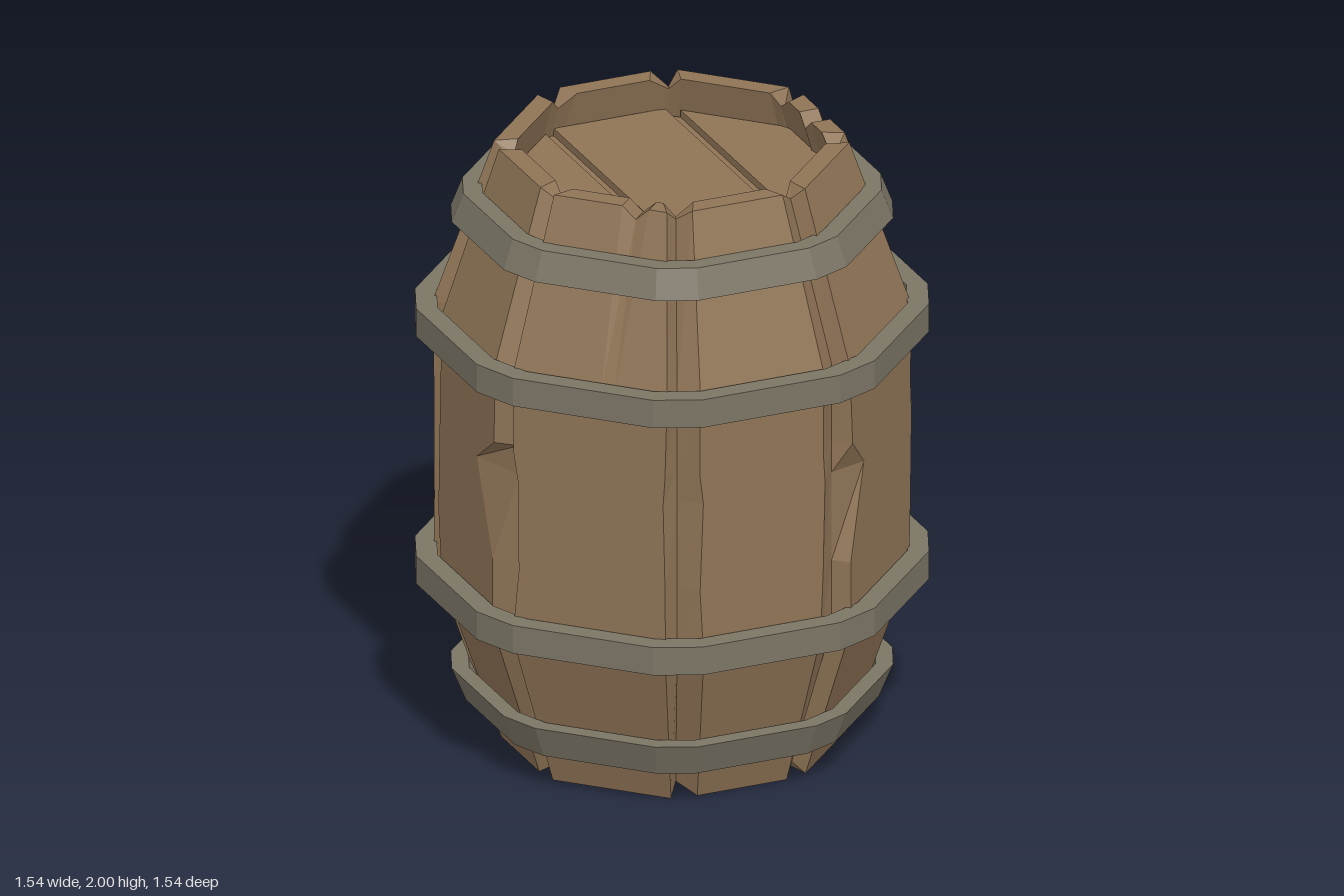
import * as THREE from 'three';

const wood = new THREE.MeshStandardMaterial({ color: 0x8f7456 });
wood.name = 'wood';
const iron = new THREE.MeshStandardMaterial({ color: 0x7b7565 });
iron.name = 'dull iron';

const TAN = Math.tan(Math.PI / 8);

// Small repeatable random numbers in -1..1 for uneven stave edges
let seed = 7;
const jitter = () => {
  seed = (seed * 16807) % 2147483647;
  return (seed / 2147483647) * 2 - 1;
};

// Flat-shaded skin over closed rings, with optional ends across paired points
function loft(rings, capped) {
  const pos = [];
  const quad = (a, b, c, d) => [a, b, c, a, c, d].forEach(p => pos.push(...p));
  for (let r = 0; r < rings.length - 1; r++) {
    const a = rings[r], b = rings[r + 1], n = a.length;
    for (let i = 0; i < n; i++) quad(a[i], a[(i + 1) % n], b[(i + 1) % n], b[i]);
  }
  if (capped) {
    const lo = rings[0], hi = rings[rings.length - 1], n = lo.length;
    for (let j = 0; j < n / 2 - 1; j++) {
      quad(hi[j], hi[j + 1], hi[n - 2 - j], hi[n - 1 - j]);
      quad(lo[j], lo[n - 1 - j], lo[n - 2 - j], lo[j + 1]);
    }
  }
  const g = new THREE.BufferGeometry();
  g.setAttribute('position', new THREE.Float32BufferAttribute(pos, 3));
  g.computeVertexNormals();
  return g;
}

function add(parent, geometry, material, name) {
  const m = new THREE.Mesh(geometry, material);
  m.name = name;
  parent.add(m);
  return m;
}

// One stave facing +z: [height, apothem] levels, chipped edge and rim notch optional
function staveGeometry(halfWidth, chipSide, notchAt) {
  const levels = [[0, 0.52], [0.55, 0.7], [0.78, 0.7], [1.08, 0.7], [1.18, 0.7], [1.45, 0.7], [2, 0.52]];
  const rings = levels.map(([y, r], k) => {
    const edge = s => {
      const chip = k === 3 && chipSide === s ? 0.12 : 0;
      return s * ((halfWidth + 0.02 * jitter()) * r - chip);
    };
    const c = notchAt ?? 0;
    const xs = [edge(-1), c - 0.045, c, c + 0.045, edge(1)];
    const top = k === levels.length - 1;
    const dip = top ? -0.04 : k === 0 ? 0.04 : 0;
    const rimY = i => y - (top && i === 2 && notchAt !== undefined ? 0.04 : 0);
    const outer = xs.map((x, i) => [x, rimY(i), r]);
    const inner = xs.map((x, i) => [i % 4 ? x : x * 0.8, rimY(i), r * 0.875]).reverse();
    // groove bottoms on the joints between neighbouring staves
    const groove = (s, f) => [s * f * r * TAN, y + dip, f * r];
    return [groove(-1, 0.91), ...outer, groove(1, 0.91), groove(1, 0.875), ...inner, groove(-1, 0.875)];
  });
  return loft(rings, true);
}

// Octagonal ring with cut corners
function hoopRing(apothem, y) {
  const pts = [];
  const a = Math.atan(0.305), r = apothem / Math.cos(a);
  for (let i = 0; i < 8; i++) {
    for (const s of [-1, 1]) {
      const t = i * Math.PI / 4 + s * a;
      pts.push([r * Math.sin(t), y, r * Math.cos(t)]);
    }
  }
  return pts;
}

// Barrel end: a recessed octagonal board with three planks on it
function makeHead() {
  const head = new THREE.Group();
  const a = 0.485;
  const board = new THREE.CylinderGeometry(a * 1.082, a * 1.082, 0.04, 8).toNonIndexed();
  board.rotateY(Math.PI / 8);
  board.computeVertexNormals();
  add(head, board, wood, 'headBoard').position.y = -0.045;
  const x0 = 0.23, z0 = a * Math.SQRT2 - x0, h = a * TAN;
  const outlines = [
    [[-0.19, -a], [0.19, -a], [0.19, a], [-0.19, a]],
    [[x0, -z0], [a, -h], [a, h], [x0, z0]],
    [[-x0, z0], [-a, h], [-a, -h], [-x0, -z0]],
  ];
  for (const o of outlines) {
    const shape = new THREE.Shape(o.map(p => new THREE.Vector2(...p)));
    const g = new THREE.ExtrudeGeometry(shape, { depth: 0.025, bevelEnabled: false });
    g.rotateX(-Math.PI / 2);
    add(head, g, wood, 'headPlank').position.y = -0.025;
  }
  return head;
}

export function createModel() {
  const barrel = new THREE.Group();
  barrel.name = 'barrel';

  // Staves, every second one a little wider
  const chips = { 1: -1, 3: 1, 6: 1 };
  const notches = { 2: 0, 7: 0.08 };
  for (let i = 0; i < 8; i++) {
    const g = staveGeometry(i % 2 ? 0.365 : 0.295, chips[i], notches[i]);
    add(barrel, g, wood, 'stave').rotation.y = i * Math.PI / 4;
  }

  // Top and bottom heads
  const topHead = makeHead();
  topHead.name = 'topHead';
  topHead.position.y = 1.88;
  const bottomHead = makeHead();
  bottomHead.name = 'bottomHead';
  bottomHead.rotation.x = Math.PI;
  bottomHead.position.y = 0.12;
  barrel.add(topHead, bottomHead);

  // Hoops: bottom y, top y, outer and inner apothem at bottom, then at top
  const hoops = [
    [0.125, 0.235, 0.62, 0.565, 0.663, 0.61],
    [0.53, 0.625, 0.77, 0.705, 0.77, 0.705],
    [1.375, 1.47, 0.77, 0.705, 0.77, 0.705],
    [1.76, 1.855, 0.663, 0.61, 0.628, 0.57],
  ];
  for (const [y0, y1, o0, i0, o1, i1] of hoops) {
    const rings = [hoopRing(o0, y0), hoopRing(o1, y1), hoopRing(i1, y1), hoopRing(i0, y0), hoopRing(o0, y0)];
    add(barrel, loft(rings), iron, 'hoop');
  }

  // Six-sided bung on the left side
  const plug = new THREE.CylinderGeometry(0.112, 0.09, 0.1, 6).toNonIndexed();
  plug.computeVertexNormals();
  plug.rotateZ(-Math.PI / 2);
  add(barrel, plug, wood, 'bung').position.set(0.72, 1.01, 0);

  return barrel;
}
